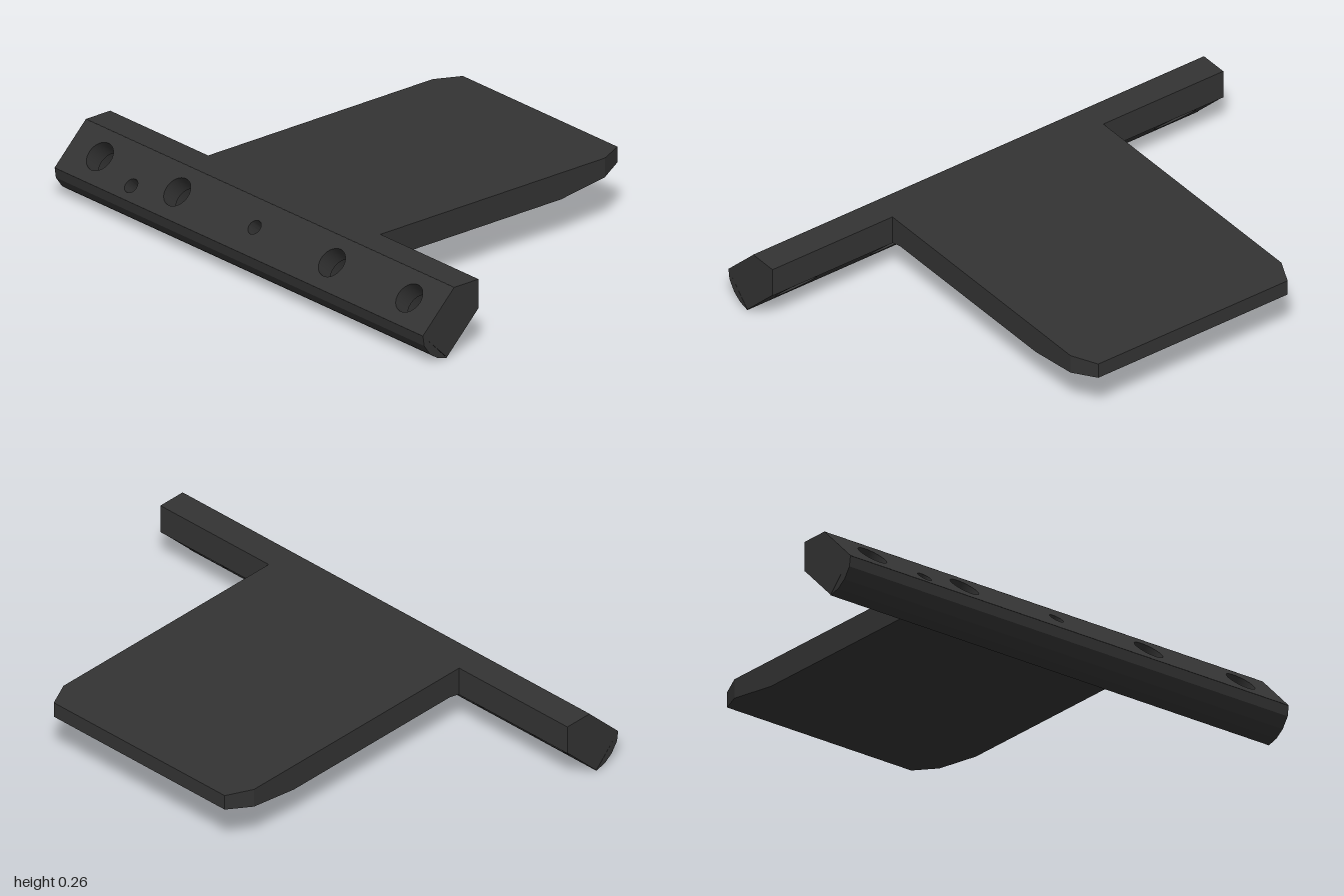
import * as THREE from 'three';
import { toCreasedNormals } from 'three/addons/utils/BufferGeometryUtils.js';

const material = new THREE.MeshStandardMaterial({ color: 0x333333 });

function addMesh(group, name, geometry) {
  const mesh = new THREE.Mesh(geometry, material);
  mesh.name = name;
  group.add(mesh);
}

// Extrude a [z, y] profile across the full width, centred on x = 0
function prism(profile, width) {
  const shape = new THREE.Shape(profile.map(([z, y]) => new THREE.Vector2(z, y)));
  const geometry = new THREE.ExtrudeGeometry(shape, { depth: width, bevelEnabled: false });
  return geometry.translate(0, 0, -width / 2).rotateY(-Math.PI / 2);
}

// One layer of the sloped bar; holes are [x, distance down the slope, radius]
function slopedLayer(holes, from, to) {
  const top = -0.208, bottom = -0.416;
  const shape = new THREE.Shape([
    new THREE.Vector2(-1, bottom), new THREE.Vector2(1, bottom),
    new THREE.Vector2(1, top), new THREE.Vector2(-1, top),
  ]);
  for (const [x, down, radius] of holes) {
    shape.holes.push(new THREE.Path().absarc(x, -down, radius, 0, Math.PI * 2, true));
  }
  const geometry = new THREE.ExtrudeGeometry(shape, {
    depth: to - from, bevelEnabled: false, curveSegments: 16,
  });
  geometry.translate(0, 0, from).rotateX(-Math.PI / 4);
  return toCreasedNormals(geometry, 0.4);
}

export function createModel() {
  const group = new THREE.Group();
  group.name = 'mountingBracket';

  // Sloped bar: through holes and blind pin holes in front, counterbores behind
  const boltX = [-0.84, -0.42, 0.42, 0.84];
  const bolts = boltX.map((x) => [x, 0.311, 0.057]);
  const pins = [[0, 0.311, 0.028], [-0.63, 0.36, 0.028]];
  const counterbores = boltX.map((x) => [x, 0.311, 0.082]);
  addMesh(group, 'barFront', slopedLayer([...bolts, ...pins], 0.503, 0.583));
  addMesh(group, 'barBack', slopedLayer(counterbores, 0.4236, 0.503));

  // Faceted nose along the lower edge of the bar
  addMesh(group, 'barNose', prism([
    [0.706, 0.118], [0.7, 0.078], [0.672, 0.038], [0.637, 0.014], [0.594, 0.003],
  ], 2));

  // Wedge joining the sloped bar to the flat top
  addMesh(group, 'barTop', prism([[0.56, 0.265], [0.446, 0.151], [0.446, 0.265]], 2));

  // Flat tongue with a thinning underside
  const width = 0.936;
  addMesh(group, 'tongue', prism([
    [0.446, 0.265], [0.446, 0.152], [0.4, 0.163], [-0.4, 0.163], [-0.605, 0.191], [-0.605, 0.265],
  ], width));

  // Tongue tip, narrowed at its far end to cut the corners
  const tip = prism([[-0.605, 0.265], [-0.605, 0.191], [-0.705, 0.205], [-0.705, 0.265]], width);
  const position = tip.attributes.position;
  for (let i = 0; i < position.count; i++) {
    if (position.getZ(i) < -0.65) position.setX(i, Math.sign(position.getX(i)) * 0.42);
  }
  tip.computeVertexNormals();
  addMesh(group, 'tongueTip', tip);

  return group;
}
